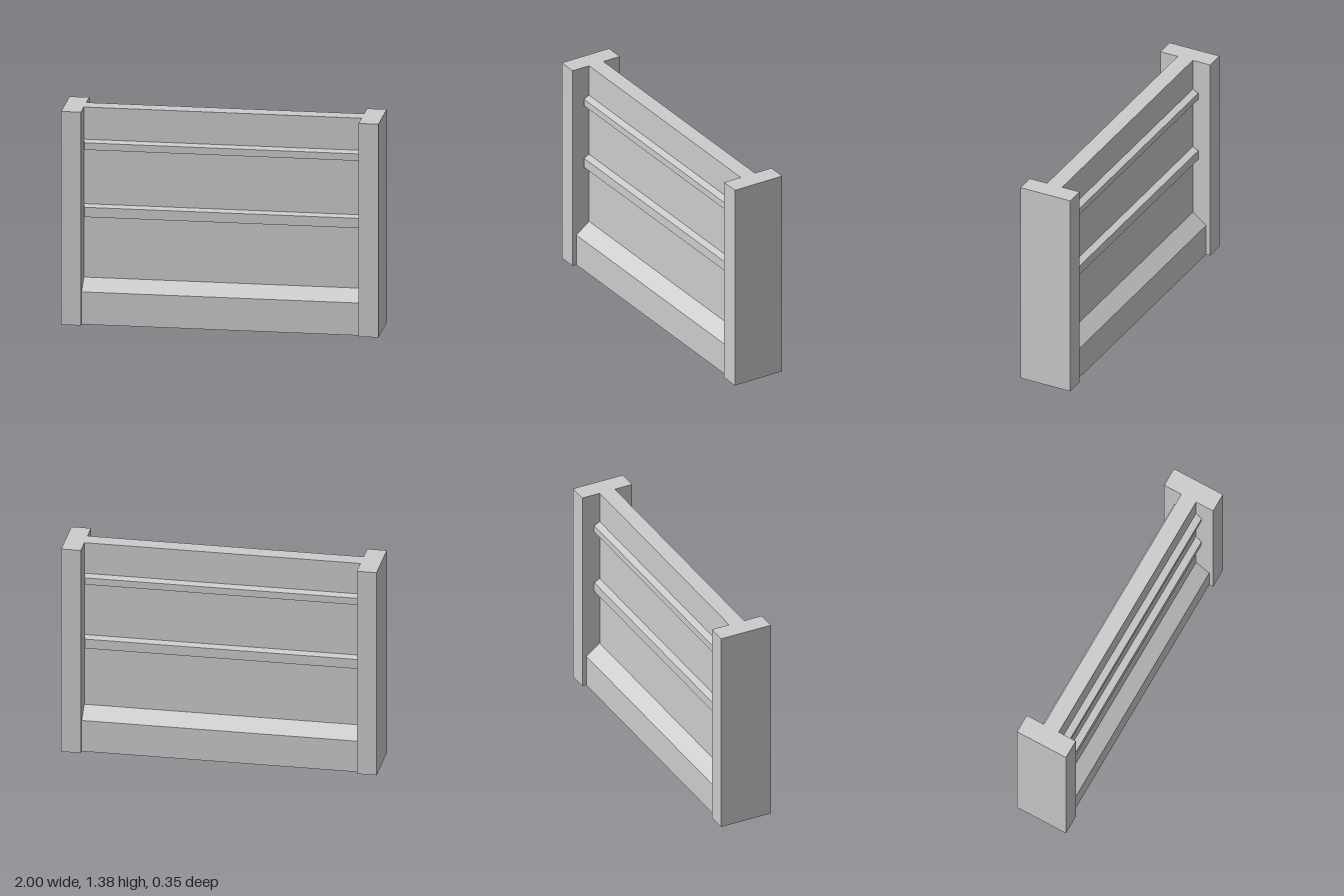
import * as THREE from 'three';

const material = new THREE.MeshStandardMaterial({ color: 0xcccccc, flatShading: true });
const HEIGHT = 1.38;
const INNER = 0.875; // half the clear width between the posts
const PANEL = 0.053; // half the panel thickness

function addMesh(group, name, geometry, x = 0, y = 0, z = 0) {
  const mesh = new THREE.Mesh(geometry, material);
  mesh.name = name;
  mesh.position.set(x, y, z);
  group.add(mesh);
  return mesh;
}

// Shallow bar whose outer face is inset on all four edges
function railGeometry(height, depth, inset) {
  const width = 2 * INNER;
  const geometry = new THREE.BoxGeometry(width, height, depth);
  const pos = geometry.attributes.position;
  for (let i = 0; i < pos.count; i++) {
    if (pos.getZ(i) < 0) continue;
    pos.setX(i, pos.getX(i) * (1 - 2 * inset / width));
    pos.setY(i, pos.getY(i) * (1 - 2 * inset / height));
  }
  geometry.computeVertexNormals();
  return geometry;
}

export function createModel() {
  const group = new THREE.Group();
  group.name = 'barrier';

  // Wall panel with a wide foot and sloped shoulders, one cross-section
  const half = [[0.147, 0], [0.147, 0.21], [PANEL, 0.28], [PANEL, HEIGHT]];
  const outline = [...half, ...half.map(([z, y]) => [-z, y]).reverse()];
  const section = new THREE.Shape(outline.map(([z, y]) => new THREE.Vector2(z, y)));
  const wall = new THREE.ExtrudeGeometry(section, { depth: 2 * INNER, bevelEnabled: false });
  wall.translate(0, 0, -INNER).rotateY(Math.PI / 2);
  addMesh(group, 'wallPanel', wall);

  // End posts
  for (const [name, side] of [['leftPost', 1], ['rightPost', -1]]) {
    const width = 1 - INNER;
    addMesh(group, name, new THREE.BoxGeometry(width, HEIGHT, 0.35),
      side * (INNER + width / 2), HEIGHT / 2, 0);
  }

  // Two raised rails on each face
  const depth = 0.045;
  for (const [label, bottom, top] of [['lower', 0.67, 0.755], ['upper', 1.105, 1.172]]) {
    for (const [face, side] of [['Front', 1], ['Back', -1]]) {
      const rail = addMesh(group, `${label}${face}Rail`, railGeometry(top - bottom, depth, 0.011),
        0, (top + bottom) / 2, side * (PANEL + depth / 2));
      if (side < 0) rail.rotation.y = Math.PI;
    }
  }
  return group;
}
